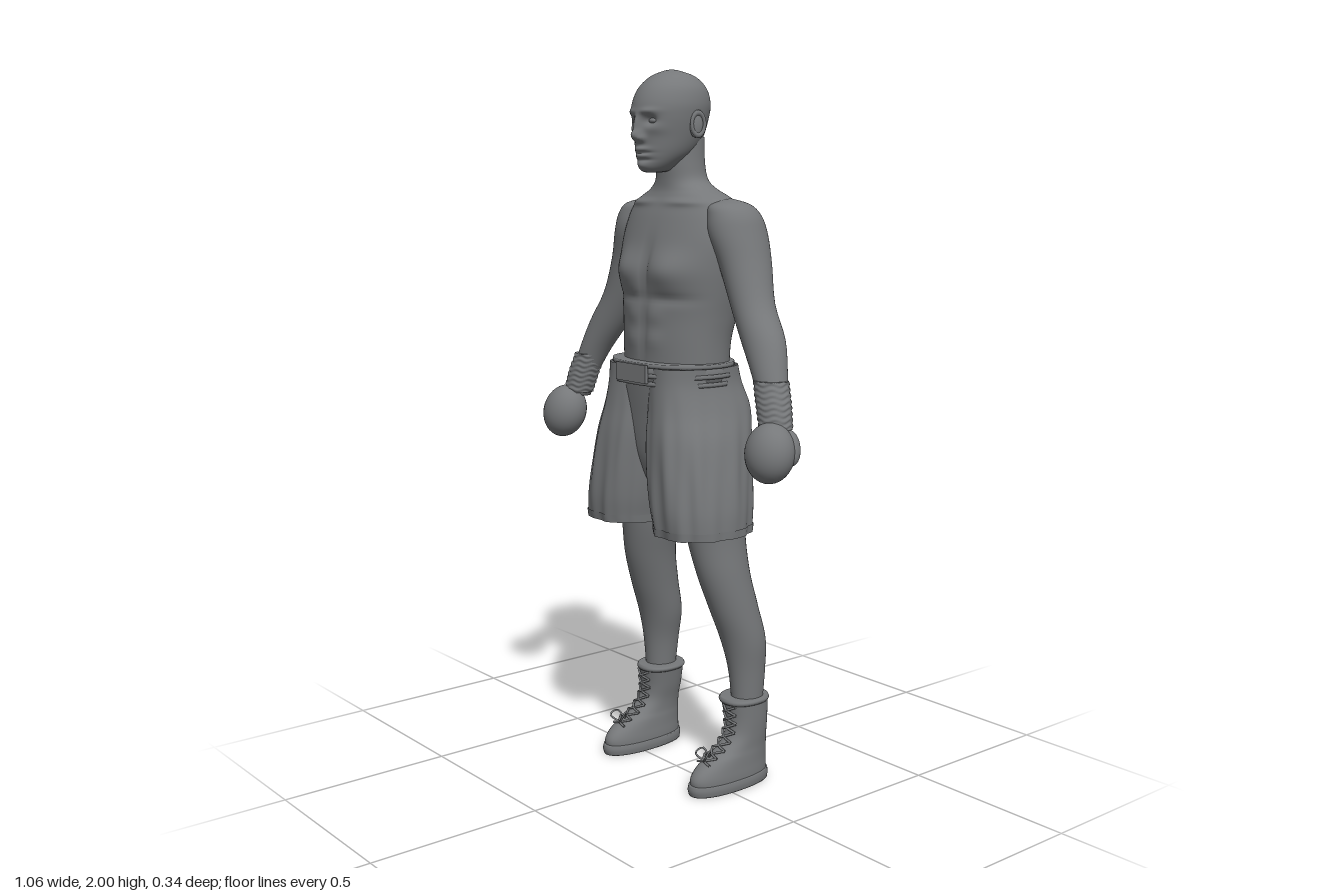
import * as THREE from 'three';

const grey = new THREE.MeshStandardMaterial({ color: 0x76787a, side: THREE.DoubleSide });
grey.name = 'plain grey';

// Catmull-Rom blend of neighbouring cross-sections
function sample(rows, t) {
  const f = t * (rows.length - 1), i = Math.min(Math.floor(f), rows.length - 2), s = f - i;
  const at = k => rows[Math.max(0, Math.min(rows.length - 1, k))];
  const [a, b, c, d] = [at(i - 1), at(i), at(i + 1), at(i + 2)];
  return b.map((v, k) => {
    const m0 = (c[k] - a[k]) / 2, m1 = (d[k] - v) / 2, e = c[k] - v;
    return v + s * (m0 + s * (3 * e - 2 * m0 - m1 + s * (m0 + m1 - 2 * e)));
  });
}

// Skin over horizontal sections [y, centreX, halfWidth, zFront, zBack], bottom to top
function loft(name, rows, { steps = 36, n = 40, p = 1, caps = true, warp } = {}) {
  const pos = [], idx = [];
  const pow = v => Math.sign(v) * Math.abs(v) ** p;
  for (let i = 0; i <= steps; i++) {
    const [y, cx, rx, zf, zb] = sample(rows, i / steps);
    for (let j = 0; j < n; j++) {
      const a = j / n * Math.PI * 2, cz = (zf + zb) / 2;
      const v = new THREE.Vector3(cx + rx * pow(Math.sin(a)), y, cz + (zf - zb) / 2 * pow(Math.cos(a)));
      if (warp) warp(v, a, cx, cz);
      pos.push(v.x, v.y, v.z);
      if (i < steps) {
        const k = i * n, q = (j + 1) % n;
        idx.push(k + j, k + q, k + n + q, k + j, k + n + q, k + n + j);
      }
    }
  }
  if (caps) [0, steps].forEach((i, top) => {
    const [y, cx, , zf, zb] = rows[top ? rows.length - 1 : 0], c = pos.length / 3;
    pos.push(cx, y, (zf + zb) / 2);
    for (let j = 0; j < n; j++) {
      const a = i * n + j, b = i * n + (j + 1) % n;
      idx.push(c, top ? a : b, top ? b : a);
    }
  });
  const g = new THREE.BufferGeometry();
  g.setAttribute('position', new THREE.Float32BufferAttribute(pos, 3));
  g.setIndex(idx);
  g.computeVertexNormals();
  return part(name, g);
}

function part(name, geometry) {
  const m = new THREE.Mesh(geometry, grey);
  m.name = name;
  return m;
}

function ball(name, x, y, z, rx, ry, rz) {
  const m = part(name, new THREE.SphereGeometry(1, 28, 20));
  m.position.set(x, y, z);
  m.scale.set(rx, ry, rz);
  return m;
}

// Soft mirrored swellings [side(1 front, -1 back), |x|, y, amount, spreadX, spreadY]
const swell = bumps => (v, a) => {
  const c = Math.cos(a), x = Math.abs(v.x);
  let d = 0;
  for (const [side, bx, by, amt, sx, sy] of bumps)
    d += side * amt * Math.min(1, Math.max(0, c * side) * 1.6) *
      Math.exp(-(((x - bx) / sx) ** 2) - ((v.y - by) / sy) ** 2);
  v.z += d;
};

function tube(name, pts, r) {
  const c = new THREE.CatmullRomCurve3(pts.map(p => new THREE.Vector3(...p)));
  return part(name, new THREE.TubeGeometry(c, 12, r, 6));
}

function buildSide() {
  const side = new THREE.Group();
  side.add(loft('arm', [
    [1.06, .437, .034, .05, -.01], [1.12, .42, .041, .05, -.02], [1.20, .387, .05, .045, -.045],
    [1.29, .337, .065, .035, -.075], [1.38, .281, .062, .027, -.092], [1.48, .238, .067, .03, -.12],
    [1.56, .206, .074, .042, -.132], [1.61, .195, .067, .037, -.12], [1.64, .183, .05, .02, -.095],
    [1.655, .175, .004, -.04, -.05]]));

  // wrist wrap with ridged bands
  side.add(loft('wristWrap', [
    [1.07, .439, .046, .068, -.018], [1.13, .421, .049, .062, -.028], [1.19, .399, .049, .052, -.038]],
    { steps: 48, n: 48, warp: (v, a, cx, cz) => {
      const s = 1 + .03 * Math.sin(v.y * 420 + Math.sin(a * 6) * 1.5);
      v.x = cx + (v.x - cx) * s;
      v.z = cz + (v.z - cz) * s;
    } }));
  const fist = ball('glove', .458, 1.012, .063, .07, .08, .062);
  fist.rotation.set(-.25, 0, .2);
  const thumb = ball('gloveThumb', .49, 1.025, .022, .026, .048, .028);
  thumb.rotation.set(-.2, 0, .35);
  side.add(fist, thumb);

  side.add(loft('leg', [
    [.22, .198, .041, -.055, -.145], [.33, .195, .05, -.045, -.155], [.42, .188, .063, -.025, -.157],
    [.52, .178, .066, .012, -.135], [.62, .165, .069, .045, -.115], [.73, .148, .076, .067, -.11],
    [.87, .14, .085, .09, -.11]]));

  // baggy trouser leg, folds deepening toward the hem
  const folds = (v, a, cx, cz) => {
    const k = Math.max(0, Math.min(1, (1.16 - v.y) / .25));
    const s = 1 + k * (.022 * Math.sin(9 * a + v.y * 6) + .013 * Math.sin(17 * a - v.y * 9));
    if (v.x > cx - .03) v.x = cx + (v.x - cx) * s;
    v.z = cz + (v.z - cz) * s;
  };
  const hem = [[.742, .15, .117, .164, -.108], [.765, .149, .119, .168, -.111]];
  side.add(loft('shortsLeg', [...hem, [.82, .142, .124, .172, -.117], [.90, .13, .125, .17, -.125],
    [1.0, .114, .121, .163, -.142], [1.08, .1, .108, .152, -.157], [1.15, .092, .096, .145, -.135],
    [1.2, .09, .095, .143, -.122]], { n: 96, p: .88, caps: false, warp: folds }));
  side.add(loft('shortsHem', hem.map(([y, x, r, f, b]) => [y, x, r + .003, f + .003, b - .003]),
    { steps: 2, n: 96, p: .88, caps: false, warp: folds }));

  // boot with sole, collar and crossed laces
  side.add(loft('boot', [
    [.01, .2, .05, .1, -.163], [.04, .2, .05, .105, -.163], [.065, .2, .048, .09, -.162],
    [.09, .2, .046, .055, -.162], [.112, .2, .044, .01, -.161], [.145, .199, .046, -.026, -.16],
    [.19, .195, .052, -.034, -.163], [.25, .19, .058, -.026, -.165]], { p: .88 }));
  side.add(loft('bootSole', [[0, .2, .053, .108, -.167], [.016, .2, .055, .112, -.169],
    [.03, .2, .053, .109, -.167]], { steps: 6, p: .88 }));
  side.add(loft('bootCollar', [[.238, .191, .058, -.024, -.166], [.246, .19, .063, -.021, -.169],
    [.254, .19, .059, -.025, -.165]], { steps: 6, p: .88 }));
  const rail = [[.235, -.027], [.21, -.029], [.185, -.031], [.16, -.026], [.135, -.01], [.115, .012],
    [.1, .042], [.085, .068]];
  rail.slice(1).forEach(([y, z], i) => {
    const [y0, z0] = rail[i], w = .026;
    for (const s of [-1, 1])
      side.add(tube('bootLace', [[.197 - s * w, y0, z0 - .006], [.197, (y + y0) / 2, (z + z0) / 2 + .005],
        [.197 + s * w, y, z - .006]], .0035));
  });
  side.add(tube('laceBow', [[.197, .1, .04], [.215, .125, .055], [.222, .112, .075], [.197, .092, .06]], .003));
  side.add(tube('laceBow', [[.197, .1, .04], [.18, .125, .05], [.172, .112, .07], [.197, .092, .06]], .003));

  // eye and ear
  side.add(ball('eye', .034, 1.861, .108, .015, .008, .01));
  const ear = ball('ear', .096, 1.85, .008, .009, .034, .019);
  ear.rotation.set(-.15, -.25, 0);
  const rim = part('earRim', new THREE.TorusGeometry(.019, .005, 8, 24));
  rim.position.set(.101, 1.853, .006);
  rim.rotation.set(0, Math.PI / 2 - .25, 0);
  rim.scale.y = 1.55;
  side.add(ear, rim);
  return side;
}

export function createModel() {
  const model = new THREE.Group();
  model.name = 'boxer';

  model.add(loft('torsoAndNeck', [
    [1.10, 0, .17, .118, -.12], [1.25, 0, .177, .12, -.122], [1.33, 0, .187, .117, -.138],
    [1.40, 0, .2, .115, -.15], [1.47, 0, .212, .112, -.16], [1.54, 0, .22, .098, -.163],
    [1.60, 0, .208, .08, -.153], [1.64, 0, .185, .064, -.133], [1.662, 0, .15, .054, -.115],
    [1.68, 0, .11, .048, -.1], [1.705, 0, .079, .046, -.086], [1.75, 0, .07, .046, -.078],
    [1.82, 0, .068, .04, -.075]], { steps: 84, n: 80, p: .93, warp: swell([
    [1, .09, 1.46, .022, .07, .05], [1, 0, 1.47, -.01, .016, .07], [1, .09, 1.385, -.007, .08, .014],
    [1, 0, 1.29, -.006, .012, .09], [1, .045, 1.34, .005, .03, .025], [1, .045, 1.27, .005, .03, .025],
    [1, .1, 1.645, .008, .07, .01], [-1, 0, 1.42, -.02, .03, .2], [-1, .11, 1.52, .008, .06, .07],
    [-1, .06, 1.27, .006, .035, .09]]) }));

  model.add(loft('head', [
    [1.724, 0, .012, .1, .06], [1.73, 0, .032, .115, .03], [1.75, 0, .052, .122, 0],
    [1.78, 0, .071, .125, -.045], [1.82, 0, .084, .128, -.074], [1.87, 0, .094, .135, -.091],
    [1.91, 0, .096, .131, -.097], [1.95, 0, .085, .111, -.085], [1.98, 0, .058, .078, -.055],
    [1.995, 0, .026, .042, -.012], [2, 0, .003, .02, .012]], { steps: 110, n: 120, warp: swell([
    [1, 0, 1.822, .024, .015, .015], [1, .015, 1.814, .009, .008, .008], [1, 0, 1.85, .014, .01, .025],
    [1, .035, 1.862, -.016, .018, .013], [1, .035, 1.886, .006, .026, .008],
    [1, 0, 1.786, .011, .026, .007], [1, 0, 1.768, .009, .022, .006], [1, 0, 1.777, -.007, .028, .003],
    [1, 0, 1.758, -.006, .03, .005], [1, 0, 1.742, .006, .025, .01], [1, .055, 1.84, .004, .02, .015]]) }));

  // seat of the shorts, belt bands and buckle plate
  model.add(loft('shortsSeat', [[.86, 0, .05, .09, -.06], [.95, 0, .12, .12, -.1],
    [1.08, 0, .175, .135, -.125], [1.2, 0, .183, .148, -.125]], { p: .9 }));
  const belt = (name, y0, y1, o) => model.add(loft(name, [[y0, 0, .187 + o, .152 + o, -.128 - o],
    [y1, 0, .186 + o, .151 + o, -.127 - o]], { steps: 2, n: 64, p: .88 }));
  belt('beltBase', 1.15, 1.212, 0);
  for (const y of [1.15, 1.172, 1.2]) belt('beltBand', y, y + .012, .004);
  const plate = part('beltPlate', new THREE.BoxGeometry(.13, .05, .01));
  plate.position.set(0, 1.183, .158);
  model.add(plate);

  const left = buildSide(), right = buildSide();
  left.name = 'leftSide';
  right.name = 'rightSide';
  right.scale.x = -1;
  model.add(left, right);
  return model;
}
